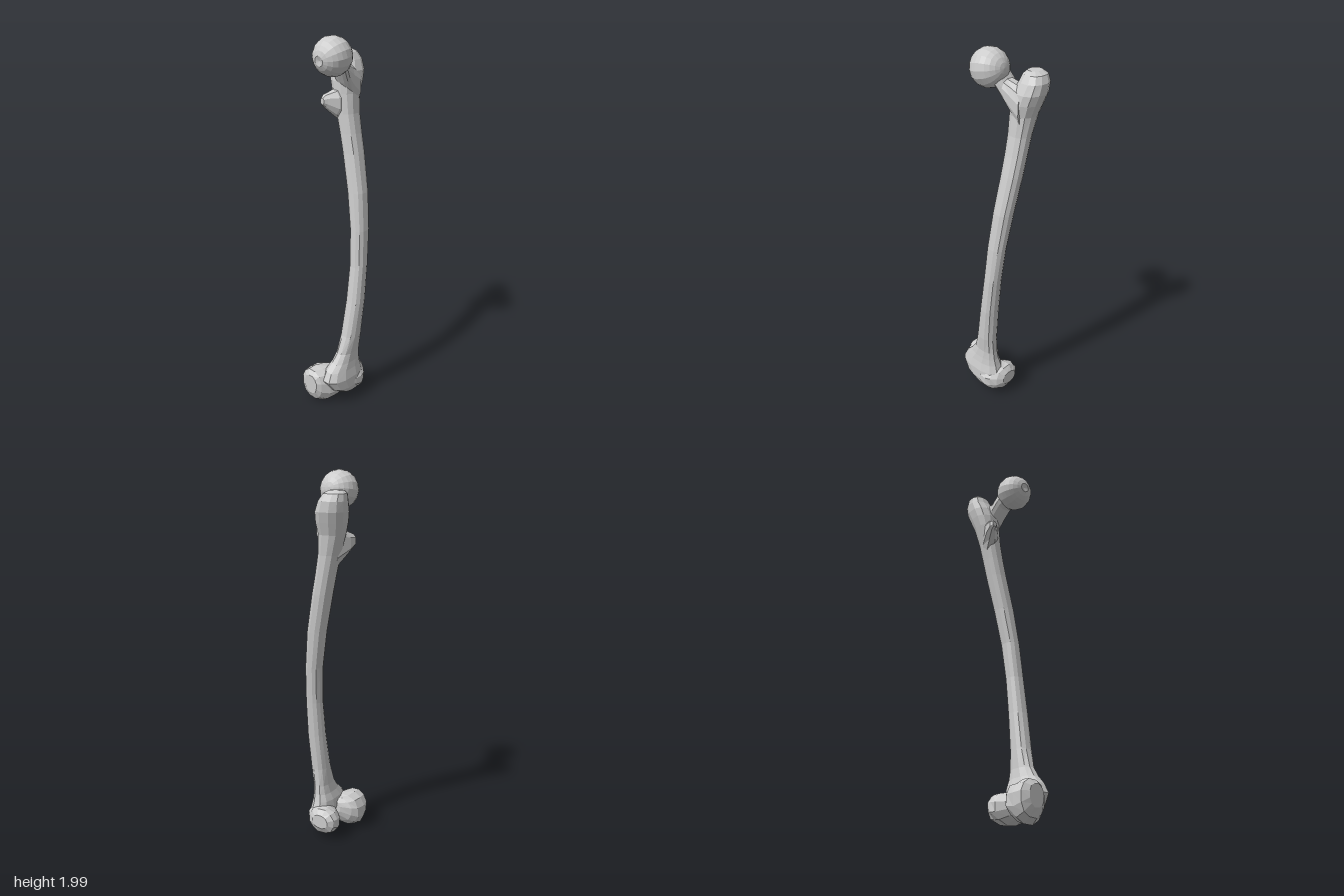
import * as THREE from 'three';

const X = new THREE.Vector3(1, 0, 0), Y = new THREE.Vector3(0, 1, 0), Z = new THREE.Vector3(0, 0, 1);
const material = new THREE.MeshStandardMaterial({ color: 0xcccccc, flatShading: true });

// Skins a closed body over cross-sections [w, u0, u1, v0, v1]:
// position along axis W = U x V, then the extents of the section along U and V.
function loft(name, U, V, sections, sides = 12, power = 0.85, rough = 0) {
  const W = new THREE.Vector3().crossVectors(U, V);
  const positions = [], index = [];
  const add = (u, v, w) => {
    const p = new THREE.Vector3().addScaledVector(U, u).addScaledVector(V, v).addScaledVector(W, w);
    positions.push(p.x, p.y, p.z);
  };
  const bend = t => Math.sign(t) * Math.abs(t) ** power;
  sections.forEach(([w, u0, u1, v0, v1], i) => {
    for (let j = 0; j < sides; j++) {
      const a = (j + 0.5) / sides * Math.PI * 2;
      const r = 0.5 * (1 - rough * (0.5 + 0.5 * Math.sin(i * 2.3 + j * 3.1)));
      add((u0 + u1) / 2 + (u1 - u0) * r * bend(Math.cos(a)),
          (v0 + v1) / 2 + (v1 - v0) * r * bend(Math.sin(a)), w);
    }
  });
  for (let i = 0; i < sections.length - 1; i++) {
    for (let j = 0; j < sides; j++) {
      const k = (j + 1) % sides;
      const a = i * sides + j, b = i * sides + k, c = b + sides, d = a + sides;
      index.push(a, b, c, a, c, d);
    }
  }
  // End caps
  const last = (sections.length - 1) * sides;
  [sections[0], sections.at(-1)].forEach(([w, u0, u1, v0, v1], end) => {
    const centre = positions.length / 3;
    add((u0 + u1) / 2, (v0 + v1) / 2, w);
    for (let j = 0; j < sides; j++) {
      const k = (j + 1) % sides;
      if (end) index.push(centre, last + j, last + k);
      else index.push(centre, k, j);
    }
  });
  const geometry = new THREE.BufferGeometry();
  geometry.setAttribute('position', new THREE.Float32BufferAttribute(positions, 3));
  geometry.setIndex(index);
  geometry.computeVertexNormals();
  const mesh = new THREE.Mesh(geometry, material);
  mesh.name = name;
  return mesh;
}

// Ball of the joint, pole facing forward with a shallow pit
function femoralHead() {
  const geometry = new THREE.SphereGeometry(0.098, 16, 12);
  const p = geometry.attributes.position;
  for (let i = 0; i < p.count; i++) {
    if (p.getY(i) > 0.0979) p.setY(i, 0.088);
  }
  geometry.rotateX(Math.PI / 2 + 0.15);
  geometry.computeVertexNormals();
  const mesh = new THREE.Mesh(geometry, material);
  mesh.name = 'head';
  mesh.position.set(0.008, 1.902, 0.054);
  return mesh;
}

export function createModel() {
  const bone = new THREE.Group();
  bone.name = 'thighBone';

  // Bowed shaft, from the flared lower end up into the greater trochanter: [y, z0, z1, x0, x1]
  bone.add(loft('shaftAndGreaterTrochanter', Z, X, [
    [0.06, -0.05, 0.08, 0.06, 0.13],
    [0.10, -0.08, 0.15, 0.03, 0.145],
    [0.16, -0.085, 0.19, 0.01, 0.145],
    [0.21, -0.07, 0.165, 0.015, 0.135],
    [0.25, -0.06, 0.125, 0.03, 0.13],
    [0.30, -0.055, 0.09, 0.04, 0.127],
    [0.40, -0.055, 0.057, 0.045, 0.138],
    [0.60, -0.075, 0.022, 0.052, 0.145],
    [0.80, -0.095, -0.005, 0.053, 0.14],
    [1.00, -0.118, -0.02, 0.04, 0.127],
    [1.20, -0.138, -0.034, 0.004, 0.102],
    [1.40, -0.155, -0.045, -0.042, 0.06],
    [1.50, -0.16, -0.047, -0.065, 0.037],
    [1.60, -0.165, -0.047, -0.09, 0.018],
    [1.70, -0.178, -0.045, -0.122, 0.01],
    [1.76, -0.20, -0.045, -0.14, 0.016],
    [1.81, -0.217, -0.055, -0.152, 0.01],
    [1.86, -0.217, -0.08, -0.156, -0.012],
    [1.895, -0.20, -0.09, -0.152, -0.035],
    [1.91, -0.17, -0.105, -0.135, -0.06],
  ]));

  // Neck: [z, x0, x1, y0, y1]
  bone.add(loft('neck', X, Y, [
    [-0.14, -0.10, 0.02, 1.64, 1.83],
    [-0.09, -0.09, 0.022, 1.69, 1.85],
    [-0.045, -0.078, 0.03, 1.755, 1.865],
    [-0.01, -0.065, 0.045, 1.81, 1.92],
    [0.04, -0.055, 0.06, 1.85, 1.95],
  ]));
  bone.add(femoralHead());

  // Pointed knob below the neck
  bone.add(loft('lesserTrochanter', X, Y, [
    [-0.11, -0.09, 0.0, 1.52, 1.76],
    [-0.04, -0.12, -0.03, 1.59, 1.715],
    [0.0, -0.125, -0.075, 1.63, 1.695],
    [0.015, -0.115, -0.09, 1.645, 1.68],
  ], 8));

  // Rounded knuckles of the knee, with the notch between them
  bone.add(loft('innerCondyle', X, Y, [
    [0.04, -0.01, 0.12, 0.09, 0.19],
    [0.07, -0.07, 0.12, 0.05, 0.20],
    [0.10, -0.097, 0.11, 0.022, 0.21],
    [0.155, -0.103, 0.088, 0.0, 0.215],
    [0.20, -0.092, 0.06, 0.025, 0.21],
    [0.22, -0.055, 0.038, 0.07, 0.185],
  ], 12, 0.9, 0.05));
  bone.add(loft('outerCondyle', X, Y, [
    [-0.112, -0.02, 0.08, 0.08, 0.16],
    [-0.09, -0.05, 0.115, 0.042, 0.19],
    [-0.06, -0.06, 0.14, 0.03, 0.195],
    [-0.03, -0.055, 0.154, 0.03, 0.19],
    [0.01, -0.02, 0.15, 0.05, 0.18],
    [0.04, 0.03, 0.142, 0.07, 0.17],
  ], 12, 0.9, 0.05));

  return bone;
}
